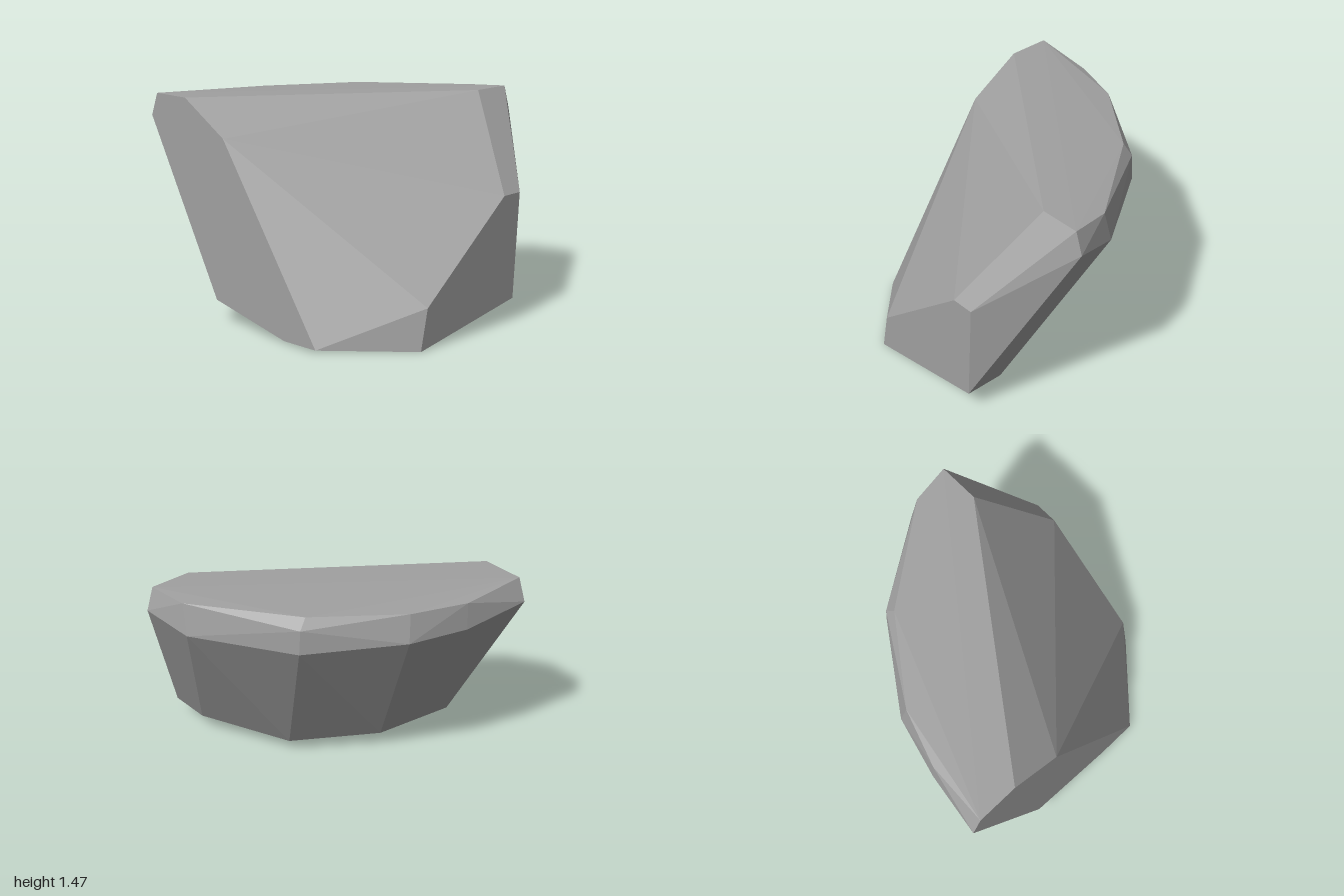
import * as THREE from 'three';
import { ConvexGeometry } from 'three/addons/geometries/ConvexGeometry.js';

export function createModel() {
  const stone = new THREE.MeshStandardMaterial({ color: 0xa0a0a0 });
  stone.name = 'stoneGrey';

  // Corners of each cut face; shared corners are listed once
  const flatTop = [
    [-0.94, 1.465, 0.955], [-0.65, 1.465, 0.955], [0.52, 1.465, -0.62], [0.52, 1.465, -0.905],
    [0.25, 1.45, -0.87], [-0.39, 1.45, -0.4], [-0.78, 1.44, 0.13], [-0.91, 1.43, 0.51],
  ];
  const shoulder = [
    [-1, 1.31, 0.955], [-0.92, 1.24, 0.51], [-0.81, 1.245, 0.1], [-0.41, 1.38, -0.46],
    [-0.41, 1.21, -0.47], [0.2, 1.235, -0.885], [0.52, 1.31, -0.955],
  ];
  const frontFace = [
    [-0.28, 1.24, 0.955], [0.55, 0.02, 0.955], [0.27, 0.015, 0.955], [-0.375, 0.15, 0.955],
  ];
  const leftFace = [
    [1, 0.86, -0.32], [1, 0.86, -0.48], [1, 0.15, -0.43], [1, 0, 0.48], [1, 0.27, 0.42],
  ];
  const underside = [[0.72, 0.135, -0.42], [0.11, 0.1, -0.12], [-0.27, 0.13, 0.4]];

  const corners = [...flatTop, ...shoulder, ...frontFace, ...leftFace, ...underside]
    .map((p) => new THREE.Vector3(...p));

  // One faceted boulder wrapped around the corners
  const boulder = new THREE.Mesh(new ConvexGeometry(corners), stone);
  boulder.name = 'boulder';

  const group = new THREE.Group();
  group.name = 'rock';
  group.add(boulder);
  return group;
}
